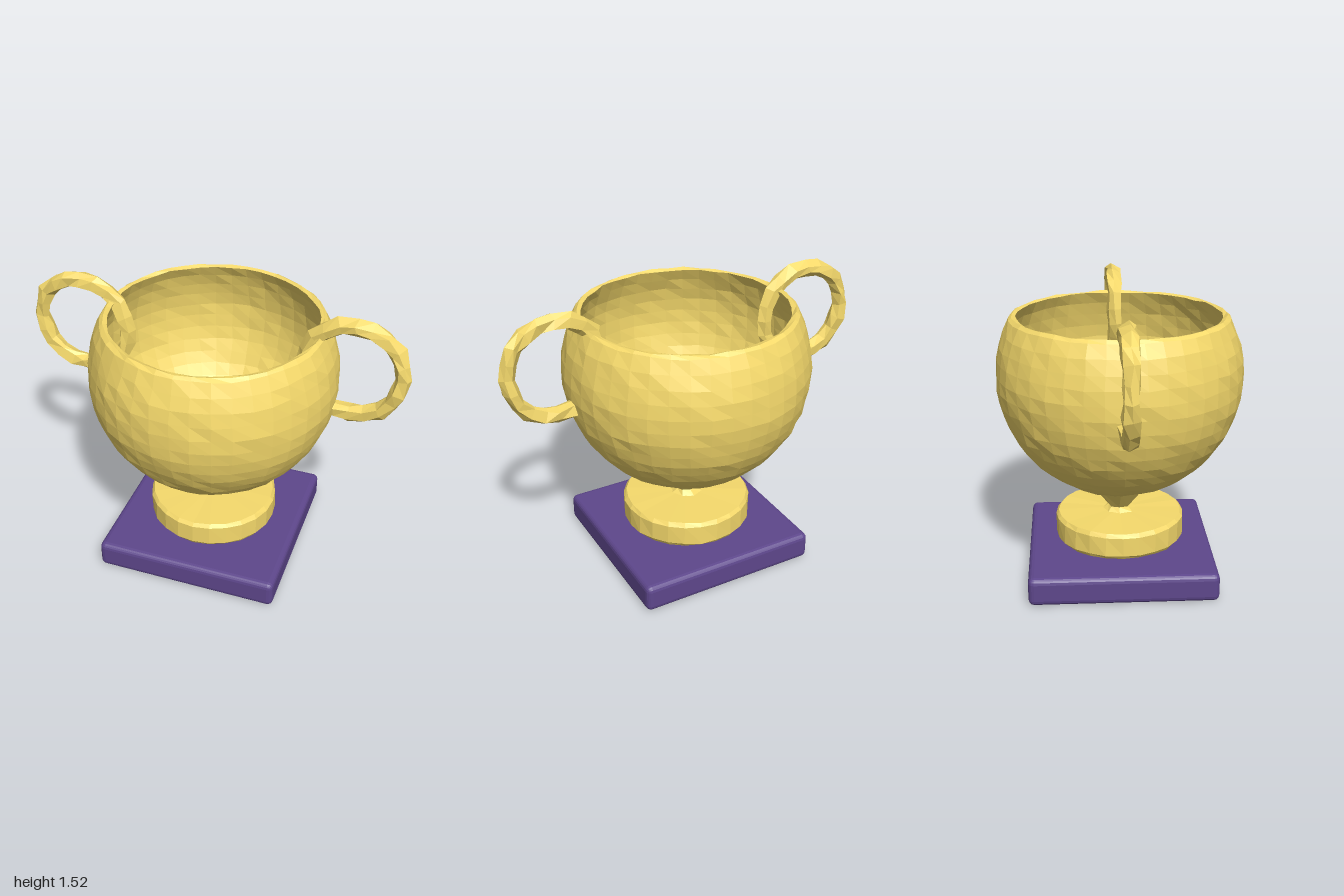
import * as THREE from 'three';
import { RoundedBoxGeometry } from 'three/addons/geometries/RoundedBoxGeometry.js';

const gold = new THREE.MeshStandardMaterial({ color: 0xf6da6c, flatShading: true });
const purple = new THREE.MeshStandardMaterial({ color: 0x5e478c, flatShading: true });

// Repeatable offset from a position, so coincident vertices stay together
function noise(x, y, z, seed) {
  const r = (v) => Math.round(v * 1000);
  const s = Math.sin(r(x) * 12.9898 + r(y) * 78.233 + r(z) * 37.719 + seed * 4.1) * 43.5453;
  return (s - Math.floor(s)) * 2 - 1;
}

// Hand-hammered look: nudge each vertex a little
function hammer(geometry, amount) {
  const p = geometry.attributes.position;
  for (let i = 0; i < p.count; i++) {
    const [x, y, z] = [p.getX(i), p.getY(i), p.getZ(i)];
    p.setXYZ(i,
      x + amount * noise(x, y, z, 1),
      y + amount * noise(x, y, z, 2),
      z + amount * noise(x, y, z, 3));
  }
  geometry.computeVertexNormals();
  return geometry;
}

function lathe(points, segments) {
  return new THREE.LatheGeometry(points.map(([r, y]) => new THREE.Vector2(r, y)), segments);
}

function add(group, name, geometry, material) {
  const mesh = new THREE.Mesh(geometry, material);
  mesh.name = name;
  group.add(mesh);
  return mesh;
}

// Points on a sphere section from the bottom pole up to the rim height
function bowlArc(radius, centerY, rimY, steps) {
  const end = Math.PI / 2 + Math.asin((rimY - centerY) / radius);
  return Array.from({ length: steps + 1 }, (_, i) => {
    const a = (end * i) / steps;
    return [radius * Math.sin(a), centerY - radius * Math.cos(a)];
  });
}

export function createModel() {
  const group = new THREE.Group();

  // Square plinth
  const plinth = add(group, 'plinth', new RoundedBoxGeometry(0.98, 0.15, 0.98, 2, 0.03), purple);
  plinth.position.y = 0.075;

  // Round foot with softened edges
  add(group, 'foot', hammer(lathe([
    [0, 0.176], [0.33, 0.176], [0.345, 0.195], [0.345, 0.3], [0.33, 0.32], [0, 0.325],
  ], 24), 0.003), gold);

  // Pinched stem, its small knob poking through the bowl floor
  add(group, 'stem', hammer(lathe([
    [0, 0.315], [0.09, 0.32], [0.06, 0.345], [0.15, 0.46], [0.12, 0.51],
    [0.08, 0.535], [0.085, 0.58], [0.05, 0.61], [0, 0.62],
  ], 8), 0.006), gold);

  // Hollow bowl: outer wall up, softened rim, inner wall down
  const outer = bowlArc(0.64, 1.088, 1.39, 18);
  const inner = bowlArc(0.61, 1.088, 1.398, 18).reverse();
  add(group, 'bowl', hammer(lathe([...outer, [0.547, 1.405], ...inner], 40), 0.004), gold);

  // Ring handles passing through the wall
  for (const side of [-1, 1]) {
    const handle = add(group, side > 0 ? 'leftHandle' : 'rightHandle',
      hammer(new THREE.TorusGeometry(0.246, 0.042, 6, 20), 0.01), gold);
    handle.position.set(side * 0.712, 1.235, 0);
    if (side < 0) handle.rotation.y = Math.PI;
  }

  return group;
}
